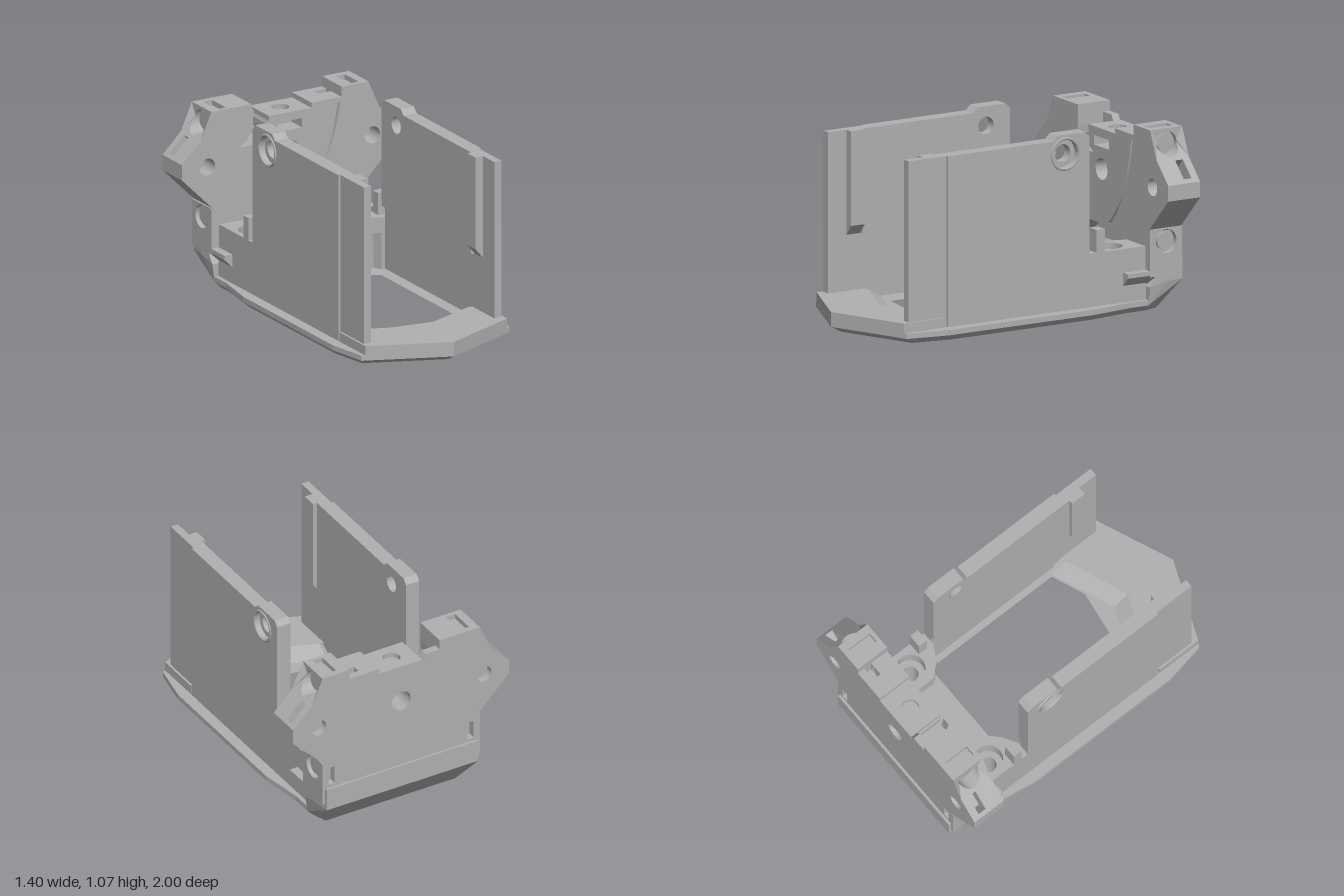
import * as THREE from 'three';
import { ConvexGeometry } from 'three/addons/geometries/ConvexGeometry.js';

const grey = new THREE.MeshStandardMaterial({ color: 0xb0b0b0 });
grey.name = 'plain grey';

const toPath = (pts, C = THREE.Path) => new C(pts.map(([a, b]) => new THREE.Vector2(a, b)));
const circle = (a, b, r, n = 28) => Array.from({ length: n }, (_, i) => {
  const t = (i / n) * Math.PI * 2;
  return [a + r * Math.cos(t), b + r * Math.sin(t)];
});
const rect = (a0, a1, b0, b1) => [[a0, b0], [a1, b0], [a1, b1], [a0, b1]];

function extrudeZ(pts, holes, z0, z1) {
  const shape = toPath(pts, THREE.Shape);
  shape.holes = holes.map(h => toPath(h));
  return new THREE.ExtrudeGeometry(shape, { depth: z1 - z0, bevelEnabled: false }).translate(0, 0, z0);
}
// outline given as [x, z]
const extrudeY = (pts, holes, y0, y1) =>
  extrudeZ(pts, holes, 0, y1 - y0).rotateX(Math.PI / 2).translate(0, y1, 0);
// outline given as [z, y]
const extrudeX = (pts, holes, x0, x1) =>
  extrudeZ(pts, holes, 0, x1 - x0).rotateY(-Math.PI / 2).translate(x1, 0, 0);

function moveVertices(geo, rule) {
  const p = geo.attributes.position, v = new THREE.Vector3();
  for (let i = 0; i < p.count; i++) {
    rule(v.fromBufferAttribute(p, i));
    p.setXYZ(i, v.x, v.y, v.z);
  }
  geo.computeVertexNormals();
  return geo;
}

// Mirrors a geometry in x and keeps its faces pointing outward
function mirrorX(source) {
  const geo = source.index ? source.toNonIndexed() : source.clone();
  geo.scale(-1, 1, 1);
  const p = geo.attributes.position, a = new THREE.Vector3(), b = new THREE.Vector3();
  for (let i = 0; i < p.count; i += 3) {
    a.fromBufferAttribute(p, i + 1);
    b.fromBufferAttribute(p, i + 2);
    p.setXYZ(i + 1, b.x, b.y, b.z);
    p.setXYZ(i + 2, a.x, a.y, a.z);
  }
  geo.computeVertexNormals();
  return geo;
}

export function createModel() {
  const model = new THREE.Group();
  model.name = 'openHousing';
  const add = (name, geo) => {
    const mesh = new THREE.Mesh(geo, grey);
    mesh.name = name;
    model.add(mesh);
  };
  const addPair = (name, geo) => {
    add(name + 'Left', geo);
    add(name + 'Right', mirrorX(geo));
  };
  const mirrorOutline = half => [...half, ...half.filter(p => p[0] > 0).reverse().map(([x, z]) => [-x, z])];

  // Base plate with a large opening, vents and screw holes
  const outline = mirrorOutline([[0, 1], [0.48, 0.8], [0.525, 0.56], [0.525, -0.4], [0.485, -0.66], [0.485, -0.78]]);
  const opening = mirrorOutline([[0, 0.58], [0.37, 0.43], [0.37, -0.4], [0.29, -0.46]]);
  const vents = [-0.1, 0, 0.1].map(x => [[x - 0.065, -0.73], [x - 0.02, -0.73], [x + 0.065, -0.59], [x + 0.02, -0.59]]);
  const screws = [-0.345, 0.345].map(x => circle(x, -0.6, 0.045));
  const through = [...vents, ...screws];
  add('baseChamfer', moveVertices(extrudeY(outline, [opening, ...through], 0, 0.035), v => {
    const outer = Math.abs(v.x) > 0.4 || v.z > 0.7;
    if (outer && v.y < 0.01) {
      v.x *= 0.93;
      if (v.z > 0) v.z *= 0.935;
    }
  }));
  add('basePlate', extrudeY(outline, [opening, ...through], 0.035, 0.065));

  // Raised front lip with a sloping inner edge
  const lip = [[0, 1], [0.46, 0.808], [0.46, 0.53], [0.37, 0.53], [0, 0.675],
    [-0.37, 0.53], [-0.46, 0.53], [-0.46, 0.808]];
  add('frontLip', moveVertices(extrudeY(lip, [], 0.065, 0.12), v => {
    const inner = Math.abs(v.x) < 0.4 && v.z < 0.7;
    if (inner && v.y < 0.1) v.z -= 0.095;
  }));

  // Rear deck, screw blocks and locating pins
  add('rearDeck', extrudeY(rect(-0.46, 0.46, -0.78, -0.46), through, 0.065, 0.14));
  const block = inner => [[0.46, -0.41], [0.375, -0.41], [inner + 0.07, -0.46],
    [inner, -0.53], [inner, -0.63], [inner + 0.05, -0.78], [0.46, -0.78]];
  addPair('screwBlockLower', extrudeY(block(0.285), [circle(0.345, -0.6, 0.045)], 0.065, 0.28));
  addPair('screwBlockTop', extrudeY(block(0.22), [circle(0.345, -0.6, 0.083)], 0.28, 0.37));
  addPair('locatingPin', new THREE.BoxGeometry(0.08, 0.14, 0.055).translate(0.42, 0.43, -0.483));

  // Sloping tail under the back panel
  const tail = [];
  for (const [x, y, z] of [[0.45, 0, -0.78], [0.485, 0.035, -0.78], [0.5, 0.14, -0.78], [0.42, 0, -0.87],
    [0.5, 0.165, -0.9], [0.49, 0.165, -1], [0.49, 0.3, -1], [0.5, 0.3, -0.9]]) {
    tail.push(new THREE.Vector3(x, y, z), new THREE.Vector3(-x, y, z));
  }
  add('tail', new ConvexGeometry(tail));
  addPair('sideLedge', extrudeZ([[0.45, 0.15], [0.465, 0.165], [0.51, 0.21], [0.51, 0.235], [0.45, 0.235]], [], -0.9, -0.63));

  // Side walls: thin skin layers with a counterbored hole near the top rear
  const wall = (z1, y0) => [[-0.41, y0], [z1, y0], [z1, 1.04], [-0.17, 1.04], [-0.2, 1.07], [-0.38, 1.07], [-0.41, 1.04]];
  addPair('wallOuter', extrudeX(wall(0.52, 0.06), [circle(-0.25, 0.96, 0.08)], 0.43, 0.46));
  addPair('wallMiddle', extrudeX(wall(0.65, 0.06), [circle(-0.25, 0.96, 0.05)], 0.4, 0.43));
  addPair('wallInner', extrudeX(wall(0.56, 0.44), [circle(-0.25, 0.96, 0.05)], 0.375, 0.4));
  addPair('wallFront', extrudeX(rect(0.52, 0.77, 0.06, 1.04), [], 0.4, 0.447));
  addPair('wallRib', extrudeZ([[0.4, 0.44], [0.35, 0.5], [0.35, 1.04], [0.4, 1.04]], [], 0.56, 0.65));
  addPair('wallHoleRim', new THREE.TorusGeometry(0.088, 0.008, 6, 32).rotateY(Math.PI / 2).translate(0.46, 0.96, -0.25));

  // Back panel, built in three layers so that pockets stay hollow
  const lowerFront = [[-0.3, 0.2], [-0.3, 0.29], [-0.15, 0.41], [0.03, 0.41], [0.15, 0.36], [0.21, 0.25], [0.27, 0.2]];
  const scoop = [[-0.13, 0.92], [-0.14, 0.9], [-0.14, 0.86], [-0.12, 0.82], [-0.08, 0.8], [-0.33, 0.8],
    [-0.28, 0.83], [-0.255, 0.87], [-0.25, 0.92]];
  const plainTop = [[-0.13, 0.92], [-0.16, 0.98], [-0.25, 0.98]];
  const wing = [[0.48, 0.2], [0.48, 0.45], [0.49, 0.46], [0.7, 0.67], [0.7, 0.76]];
  const shoulder = [[0.58, 0.88], [0.48, 0.88], [0.48, 1.01]];
  const slit = [[0.68, 0.78], [0.62, 0.72], [0.53, 0.81], [0.59, 0.87]];
  const flip = pts => pts.map(([x, y]) => [-x, y]).reverse();
  const panel = (bottom, top, edge, funnel) => [
    ...bottom, ...wing, ...edge, ...shoulder, [0.335, 1.01], ...funnel, [0.14, 0.98], [0.14, 0.92],
    ...top, [-0.25, 1.01], ...flip(shoulder), ...flip(edge), ...flip(wing)];

  const holes = [circle(0, 0.72, 0.062), circle(0.535, 0.72, 0.05), circle(-0.535, 0.72, 0.05)];
  const midHoles = [holes[0]];
  // Curved guide groove in the front face
  const arc = new THREE.QuadraticBezierCurve(new THREE.Vector2(0.318, 0.95),
    new THREE.Vector2(0.27, 0.6), new THREE.Vector2(0.08, 0.425)).getPoints(16);
  const groove = [...arc.map(p => [p.x - 0.008, p.y]), ...arc.reverse().map(p => [p.x + 0.008, p.y])];
  const frontSlot = rect(-0.08, 0.08, 0.845, 0.9);
  add('panelFront', extrudeZ(panel(lowerFront, scoop, [], [[0.335, 0.98]]), [...holes, groove, frontSlot], -0.89, -0.775));
  add('panelMiddle', extrudeZ(panel([], scoop, slit, [[0.335, 0.88], [0.25, 0.88], [0.25, 0.98]]), midHoles, -0.94, -0.89));
  const backSlots = [-0.45, 0.45].map(x => rect(x - 0.02, x + 0.02, 0.32, 0.43));
  add('panelBack', extrudeZ(panel([], plainTop, [], [[0.335, 0.98]]), [...holes, ...backSlots], -0.985, -0.94));

  // Caps with recesses on the panel's sides and tops
  addPair('upperSideCap', moveVertices(
    extrudeX(rect(-0.985, -0.775, 0.88, 1.04), [circle(-0.88, 0.955, 0.068)], 0.48, 0.51),
    v => { if (v.x > 0.5) v.x = Math.max(0.51, 1.46 - v.y); }));
  addPair('lowerSideCap', extrudeX(rect(-0.985, -0.775, 0.2, 0.47), [circle(-0.88, 0.395, 0.068)], 0.48, 0.51));
  for (const y of [0.955, 0.395]) {
    addPair('sideScrew', new THREE.CylinderGeometry(0.05, 0.05, 0.02, 28).rotateZ(Math.PI / 2).translate(0.485, y, -0.88));
  }
  add('topCapRight', extrudeY(rect(-0.48, -0.25, -0.985, -0.775), [rect(-0.46, -0.4, -0.95, -0.8)], 1.01, 1.04));
  add('topCapLeft', extrudeY(rect(0.335, 0.48, -0.985, -0.775), [rect(0.4, 0.46, -0.95, -0.8)], 1.01, 1.04));
  add('centreTopCap', extrudeY(rect(-0.135, 0.14, -0.985, -0.775), [circle(0, -0.88, 0.05)], 0.92, 0.95));

  return model;
}
